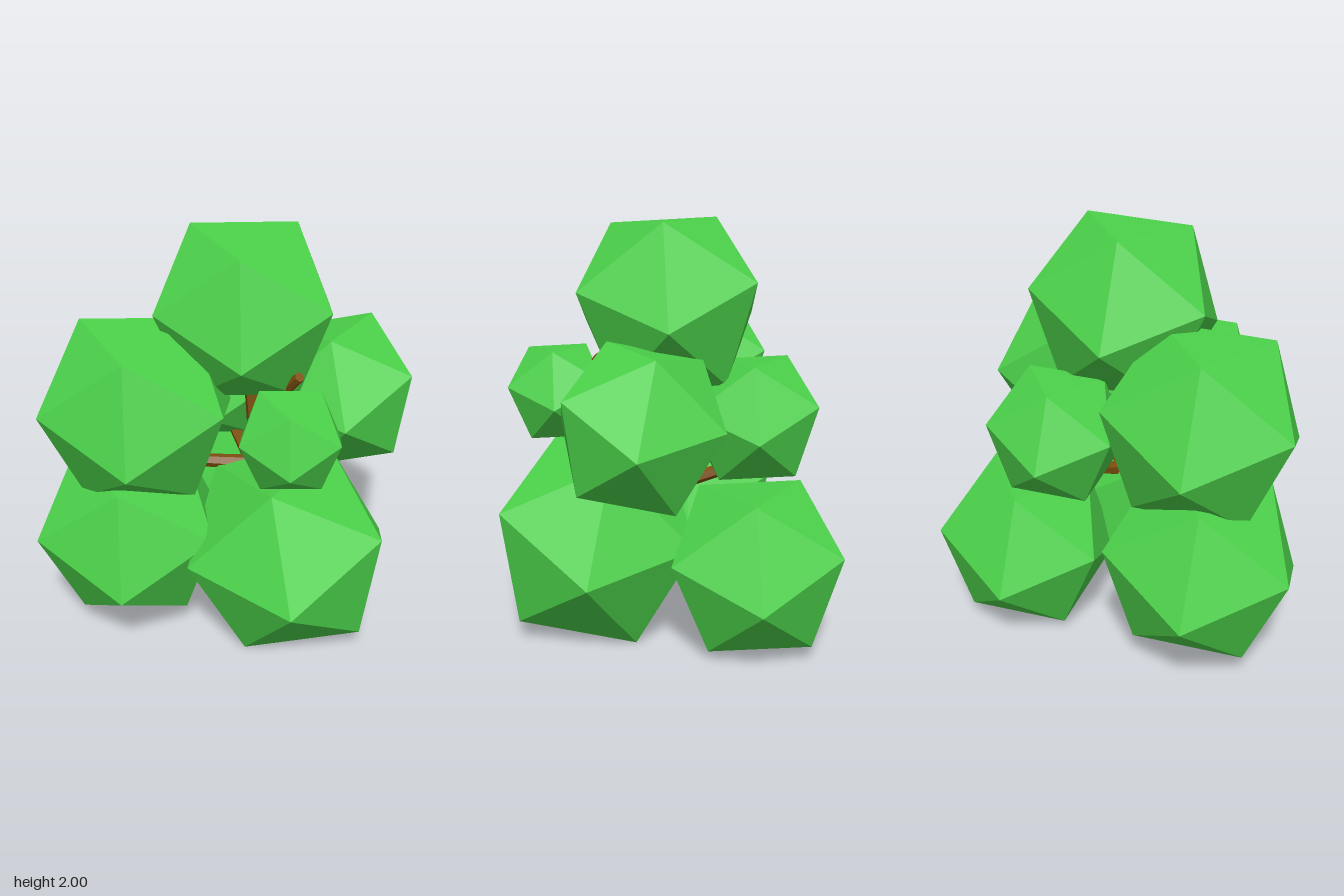
import * as THREE from 'three';

export function createModel() {
  const tree = new THREE.Group();
  tree.name = 'tree';
  const leafGreen = new THREE.MeshStandardMaterial({ color: 0x4cd24a, flatShading: true });
  leafGreen.name = 'leafGreen';
  const barkBrown = new THREE.MeshStandardMaterial({ color: 0x80500f, flatShading: true });
  barkBrown.name = 'barkBrown';
  const vec = (p) => new THREE.Vector3(...p);

  // Orientation of an icosahedron from the directions of two neighbouring corners
  const tilt = (a, b) => {
    const ex = vec(b).sub(vec(a)).normalize();
    const ey = vec(a).add(vec(b));
    ey.addScaledVector(ex, -ey.dot(ex)).normalize();
    const basis = new THREE.Matrix4().makeBasis(ex, ey, ex.clone().cross(ey));
    return new THREE.Quaternion().setFromRotationMatrix(basis);
  };
  const upright = tilt([-0.253, 0.124, 0.963], [-0.951, -0.169, 0.243]);
  const leaning = tilt([-0.295, 0.07, 0.95], [-0.886, -0.395, 0.258]);

  // Leaf clumps: name, centre, radius, orientation
  const clumps = [
    ['topLeaves', [-0.04, 1.61, -0.093], 0.473, upright],
    ['frontUpperLeaves', [-0.245, 1.19, 0.402], 0.496, upright],
    ['frontLowerLeaves', [-0.292, 0.522, 0.431], 0.498, upright],
    ['leftLowerLeaves', [0.31, 0.466, -0.06], 0.542, leaning],
    ['smallLeftLeaves', [0.45, 1.178, 0.083], 0.263, upright],
    ['backUpperLeaves', [0.195, 1.143, -0.517], 0.412, leaning],
    ['backLowerLeaves', [-0.361, 0.422, -0.478], 0.455, upright],
    ['rightUpperLeaves', [-0.416, 1.077, -0.257], 0.34, upright],
  ];
  for (const [name, centre, radius, turn] of clumps) {
    const clump = new THREE.Mesh(new THREE.IcosahedronGeometry(radius, 0), leafGreen);
    clump.name = name;
    clump.position.set(...centre);
    clump.quaternion.copy(turn);
    tree.add(clump);
  }

  // Tapered limb between two points
  const limb = (name, from, to, r0, r1) => {
    const start = vec(from), end = vec(to);
    const along = end.clone().sub(start);
    const mesh = new THREE.Mesh(new THREE.CylinderGeometry(r1, r0, along.length(), 6), barkBrown);
    mesh.name = name;
    mesh.position.copy(start).add(end).multiplyScalar(0.5);
    mesh.quaternion.setFromUnitVectors(new THREE.Vector3(0, 1, 0), along.normalize());
    tree.add(mesh);
  };
  limb('lowerTrunk', [0.02, 0.25, -0.14], [0.02, 0.98, -0.14], 0.08, 0.06);
  limb('upperTrunk', [0.02, 0.95, -0.14], [-0.03, 1.5, -0.1], 0.06, 0.035);

  // Branches reaching into the clumps
  limb('frontBranch', [0.02, 0.8, -0.13], [-0.25, 0.88, 0.3], 0.04, 0.025);
  limb('rightBranch', [0.02, 0.72, -0.14], [-0.36, 0.86, -0.28], 0.04, 0.025);
  limb('leftBranch', [0.02, 1.08, -0.14], [0.31, 1.38, -0.11], 0.035, 0.025);
  limb('backBranch', [0.02, 0.9, -0.14], [0.15, 1.1, -0.45], 0.035, 0.025);
  return tree;
}
